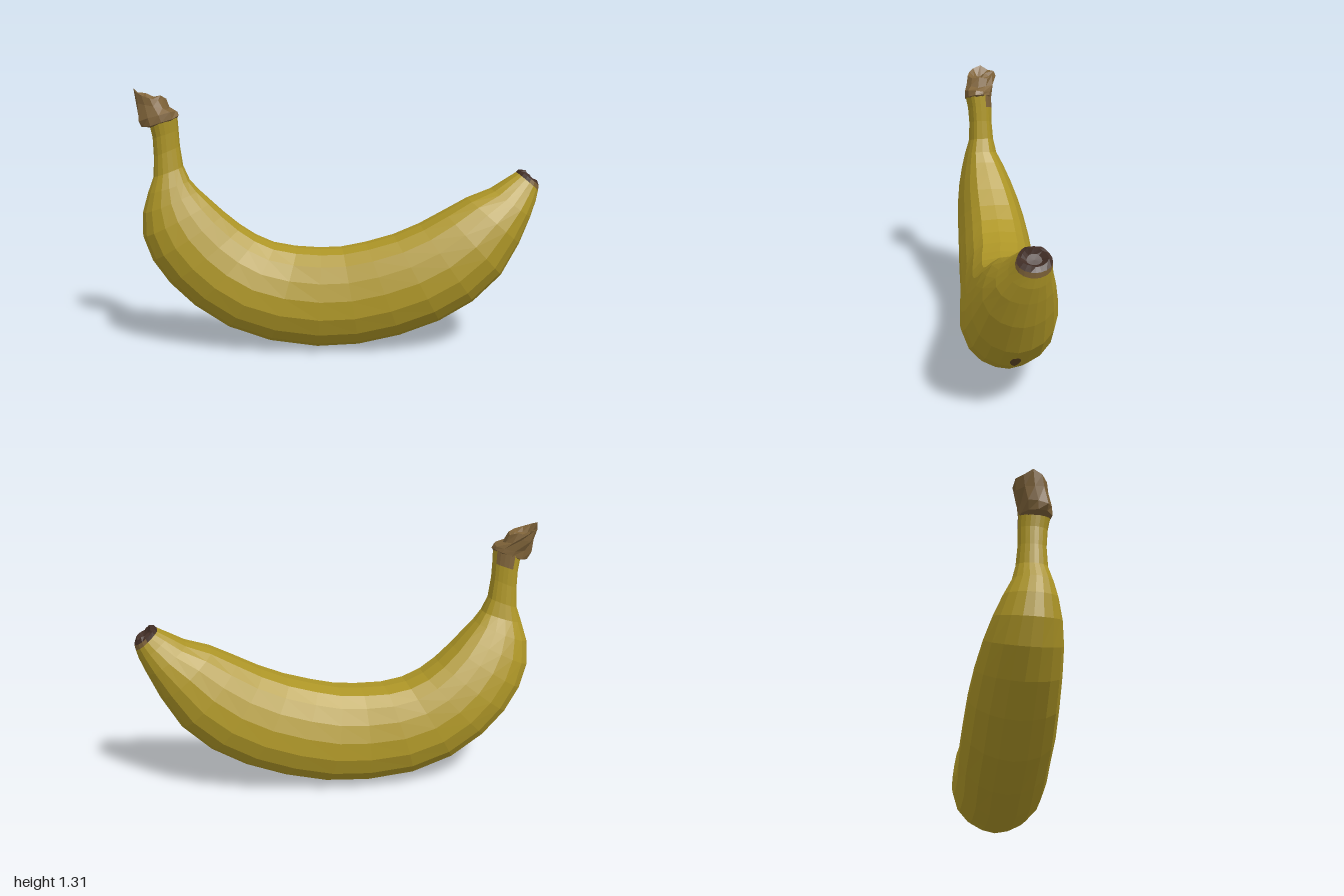
import * as THREE from 'three';

const mat = (name, color) => {
  const m = new THREE.MeshStandardMaterial({ color });
  m.name = name;
  return m;
};

// Half cross-section: [0 = outer ridge .. 1 = inner face, sideways 0..1]
const HALF = [[0, 0], [0.025, 0.3], [0.09, 0.6], [0.21, 0.86], [0.38, 1], [0.56, 0.98],
  [0.73, 0.85], [0.88, 0.67], [0.98, 0.44], [1, 0]];
const PROFILE = [...HALF, ...HALF.slice(1, -1).reverse().map(([u, w]) => [u, -w])];
const SIDES = PROFILE.length;

// Sections along the fruit: outer x, outer y, inner x, inner y, z centre, half width
const SECTIONS = [
  [-0.925, 1.14, -0.79, 1.18, 0.02, 0.072],
  [-0.912, 1.07, -0.787, 1.11, 0.013, 0.066],
  [-0.91, 0.98, -0.783, 1.03, 0.01, 0.063],
  [-0.915, 0.88, -0.77, 0.93, 0.008, 0.07],
  [-0.945, 0.8, -0.74, 0.86, 0.01, 0.09],
  [-0.975, 0.7, -0.7, 0.81, 0, 0.118],
  [-0.98, 0.58, -0.64, 0.75, -0.01, 0.147],
  [-0.94, 0.46, -0.58, 0.69, -0.02, 0.17],
  [-0.86, 0.34, -0.5, 0.62, -0.03, 0.187],
  [-0.74, 0.22, -0.42, 0.565, -0.035, 0.198],
  [-0.57, 0.105, -0.33, 0.525, -0.033, 0.205],
  [-0.36, 0.03, -0.22, 0.505, -0.028, 0.208],
  [-0.12, 0, -0.1, 0.5, -0.01, 0.21],
  [0.09, 0.012, 0.01, 0.505, 0, 0.213],
  [0.3, 0.06, 0.13, 0.53, 0.012, 0.214],
  [0.5, 0.135, 0.27, 0.57, 0.02, 0.213],
  [0.67, 0.235, 0.4, 0.625, 0.022, 0.206],
  [0.81, 0.37, 0.52, 0.69, 0.02, 0.19],
  [0.9, 0.53, 0.64, 0.755, 0.012, 0.16],
  [0.955, 0.66, 0.76, 0.8, 0, 0.125],
  [0.985, 0.74, 0.84, 0.85, -0.012, 0.092],
  [0.997, 0.79, 0.89, 0.88, -0.02, 0.076],
];

const pointAt = ([ox, oy, ix, iy, zc, hw], [u, w]) =>
  new THREE.Vector3(ox + (ix - ox) * u, oy + (iy - oy) * u, zc + hw * w);
const ringOf = (section) => PROFILE.map((p) => pointAt(section, p));

function facets(points) {
  const g = new THREE.BufferGeometry().setFromPoints(points);
  g.computeVertexNormals();
  return g;
}

// Joins closed rings into a faceted skin; pick(row, side) selects the material
function loft(rings, pick) {
  const points = [];
  const picks = [];
  for (let s = 0; s < rings.length - 1; s++) {
    const n = rings[s].length;
    for (let j = 0; j < n; j++) {
      const k = (j + 1) % n;
      const [a, b, c, d] = [rings[s][j], rings[s][k], rings[s + 1][j], rings[s + 1][k]];
      points.push(a, c, b, b, c, d);
      picks.push(pick(s, j));
    }
  }
  const g = facets(points);
  picks.forEach((m, i) => g.addGroup(i * 6, 6, m));
  return g;
}

export function createModel() {
  const group = new THREE.Group();
  group.name = 'banana';
  const yellow = mat('peelYellow', 0xaf9727);
  const brown = mat('stemBrown', 0x80643a);
  const dark = mat('tipDark', 0x412d25);
  const spotBrown = mat('spotBrown', 0x5f4724);
  const add = (name, geometry, material) => {
    const mesh = new THREE.Mesh(geometry, material);
    mesh.name = name;
    group.add(mesh);
  };

  // Peel, with a dry patch at the back of the stem
  add('peel', loft(SECTIONS.map(ringOf), (s, j) => (s === 0 && j >= 10 && j <= 13 ? 1 : 0)),
    [yellow, brown]);

  // Torn stem end: rings from the hollow top down to the collar
  const N = 11;
  const jag = (i, j) => Math.sin(i * 7.3 + j * 4.1) * 0.6 + Math.sin(i * 2.9 + j * 9.7) * 0.4;
  // x, y, z, x radius, z radius, slope, roughness
  const stemRings = [
    [-0.915, 1.245, 0, 0, 0, 0, 0],
    [-0.92, 1.25, -0.005, 0.045, 0.045, -0.2, 0.014],
    [-0.922, 1.275, -0.005, 0.073, 0.078, -0.3, 0.014],
    [-0.905, 1.225, 0.003, 0.078, 0.078, -0.1, 0.012],
    [-0.882, 1.18, 0.02, 0.096, 0.078, 0.2, 0.01],
    [-0.87, 1.15, 0.022, 0.092, 0.076, 0.3, 0.006],
    [-0.857, 1.14, 0.018, 0.062, 0.06, 0.3, 0],
  ].map(([x, y, z, rx, rz, slope, rough], i) => Array.from({ length: N }, (_, j) => {
    const a = (j / N) * Math.PI * 2;
    const r = 1 + jag(i, j) * rough * 7;
    const dx = -rx * r * Math.cos(a);
    return new THREE.Vector3(Math.max(x + dx, -1), y + dx * slope + jag(j, i) * rough,
      z + rz * r * Math.sin(a));
  }));
  add('stemEnd', loft(stemRings, () => 0), [brown]);

  // Blossom end: short brown rim around a dark hollow
  const tip = [
    SECTIONS[SECTIONS.length - 1],
    [1, 0.815, 0.902, 0.893, -0.022, 0.074],
    [0.988, 0.838, 0.922, 0.892, -0.022, 0.056],
    [0.965, 0.835, 0.925, 0.868, -0.022, 0.032],
    [0.945, 0.85, 0.945, 0.85, -0.022, 0],
  ].map(ringOf);
  tip[2].forEach((p, j) => p.addScaledVector(new THREE.Vector3(0.6, 0.8, 0), jag(j, 3) * 0.008));
  add('blossomEnd', loft(tip, (s, j) => (s === 0 && (j < 5 || j > SIDES - 6) ? 0 : 1)),
    [brown, dark]);

  // Bruise: thin oval laid over the outer ridge
  const [from, to] = [SECTIONS[16], SECTIONS[17]];
  const onRidge = (t, w) => {
    const section = from.map((v, i) => v + (to[i] - v) * t);
    const p = pointAt(section, [Math.abs(w) * HALF[1][0] / HALF[1][1], w]);
    return p.add(new THREE.Vector3(0.0035, -0.0035, 0));
  };
  const oval = [];
  const rim = (k) => onRidge(0.4 + 0.28 * Math.cos(k * Math.PI / 6), 0.12 * Math.sin(k * Math.PI / 6) - 0.0);
  for (let k = 0; k < 12; k++) oval.push(onRidge(0.4, 0), rim(k), rim(k + 1));
  add('bruise', facets(oval), spotBrown);

  return group;
}
